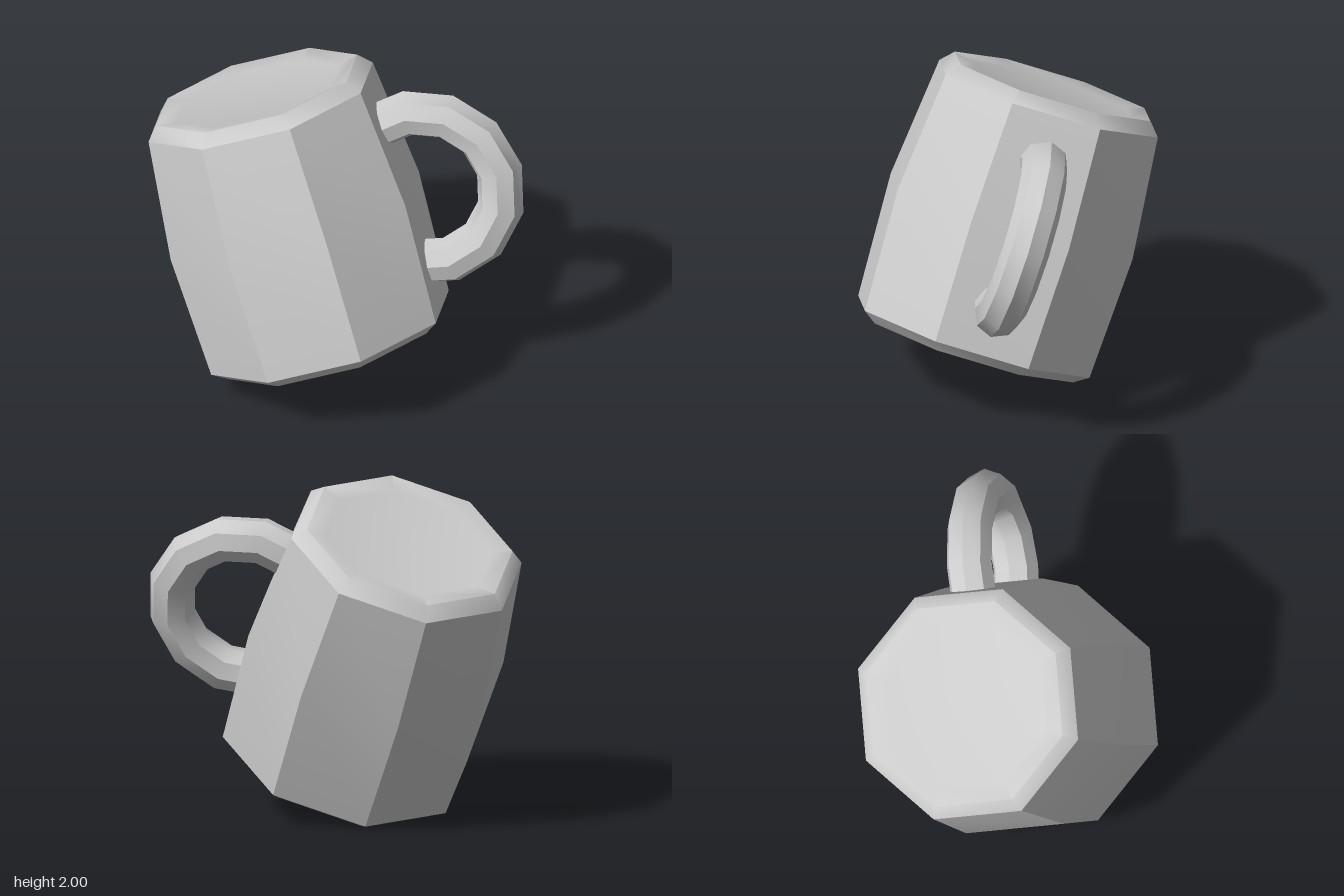
import * as THREE from 'three';
import { toCreasedNormals } from 'three/addons/utils/BufferGeometryUtils.js';

const material = new THREE.MeshStandardMaterial({ color: 0xcccccc, side: THREE.DoubleSide });

// Eight-sided turned part; profile is [distance to flat, height]
function octagonLathe(name, profile, crease) {
  const points = profile.map(([a, y]) => new THREE.Vector2(a / Math.cos(Math.PI / 8), y));
  const geometry = new THREE.LatheGeometry(points, 8, Math.PI / 8);
  const mesh = new THREE.Mesh(toCreasedNormals(geometry, crease), material);
  mesh.name = name;
  return mesh;
}

export function createModel() {
  const model = new THREE.Group();
  model.name = 'mug';

  // Upside-down mug, tilted so that its mouth faces down and forward
  const mug = new THREE.Group();
  mug.name = 'tiltedMug';
  mug.position.set(-0.155, 0.32, 0.285);
  mug.rotation.x = -0.444;
  model.add(mug);

  // Hollow inside, from the floor down to the rim
  mug.add(octagonLathe('inside', [[0, 1.38], [0.48, 1.38], [0.53, 1.2], [0.55, 0.76], [0.52, 0.38], [0.52, 0]], 0.5));

  // Bevelled rim
  mug.add(octagonLathe('rim', [[0.52, 0], [0.62, -0.06], [0.703, 0]], 0.5));

  // Bulging outer wall
  mug.add(octagonLathe('wall', [[0.703, 0], [0.735, 0.76], [0.664, 1.5]], 0.5));

  // Softly rounded base with a shallow recess
  mug.add(octagonLathe('base', [[0.664, 1.5], [0.593, 1.578], [0.48, 1.555], [0, 1.555]], 1));

  // Ring handle on a diagonal face, its ends sunk into the wall
  const halfArc = THREE.MathUtils.degToRad(114);
  const ring = new THREE.TorusGeometry(0.476, 0.14, 8, 8, halfArc * 2);
  ring.rotateZ(-halfArc);
  ring.translate(0.804, 0.755, 0);
  ring.rotateY(-Math.PI / 4);
  const handle = new THREE.Mesh(toCreasedNormals(ring, 0.52), material);
  handle.name = 'handle';
  mug.add(handle);

  return model;
}
